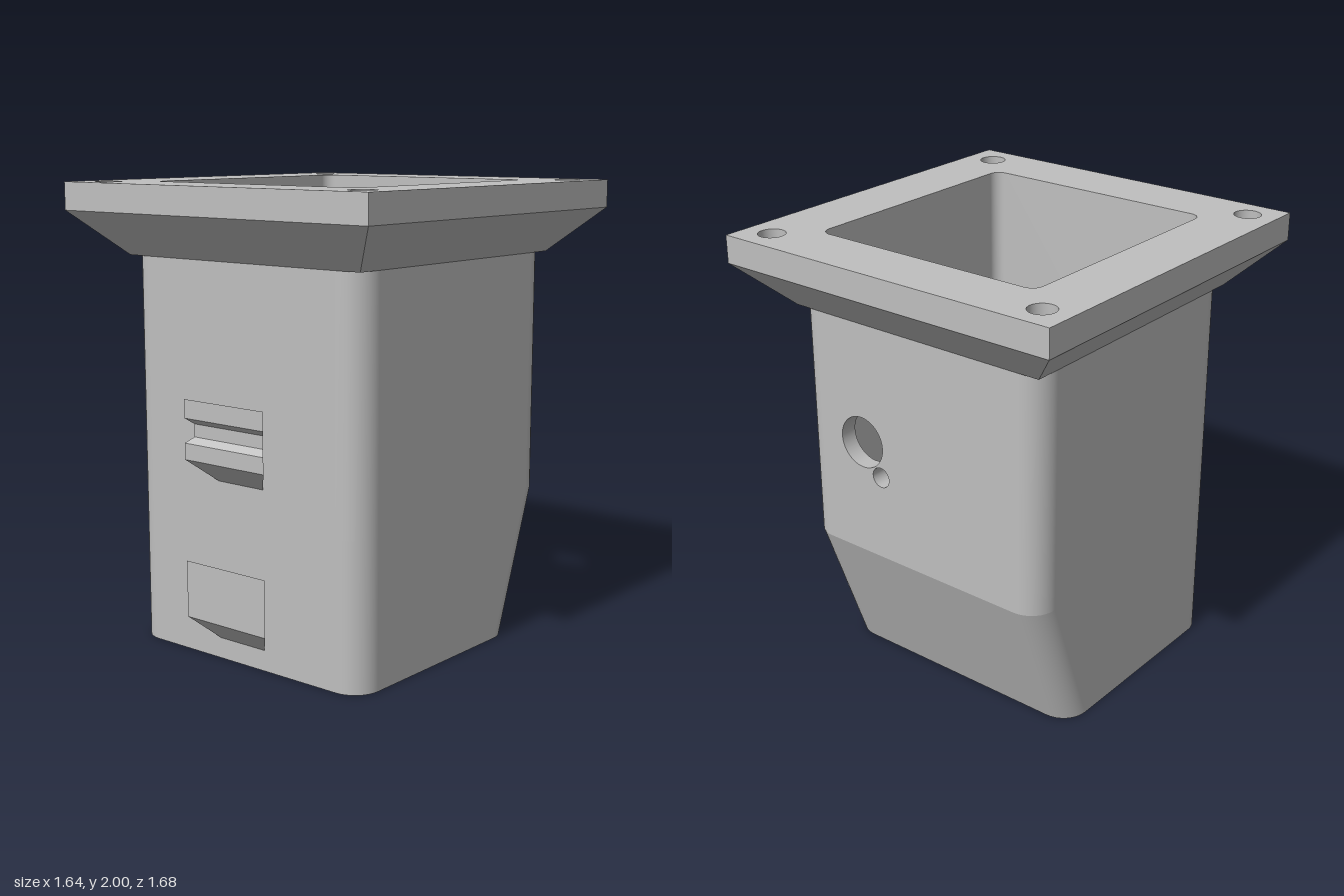
import * as THREE from 'three';

const SEG = 8; // segments per rounded corner

// Rounded rectangle in plan: points [x, z, angle of the outward normal]
function ring(hx, zBack, zFront, r) {
  const centres = [[hx - r, zFront - r], [r - hx, zFront - r], [r - hx, zBack + r], [hx - r, zBack + r]];
  const pts = [];
  centres.forEach(([cx, cz], k) => {
    for (let i = 0; i <= SEG; i++) {
      const a = (k + i / SEG) * Math.PI / 2;
      pts.push([cx + r * Math.cos(a), cz + r * Math.sin(a), a]);
    }
  });
  return pts;
}
const circle = (r) => ring(r, -r, r, r);

// Wall between two rings, facing outward or inward; openBack leaves out the flat back
function wall(y0, r0, y1, r1, { inward = false, openBack = false } = {}) {
  const pos = [], nor = [], idx = [];
  const n = r0.length;
  for (let i = 0; i < n; i++) {
    const a = new THREE.Vector3(r0[i][0], y0, r0[i][1]);
    const b = new THREE.Vector3(r1[i][0], y1, r1[i][1]);
    const t = new THREE.Vector3(-Math.sin(r0[i][2]), 0, Math.cos(r0[i][2]));
    const nv = b.clone().sub(a).cross(t).normalize().multiplyScalar(inward ? -1 : 1);
    pos.push(...a.toArray(), ...b.toArray());
    nor.push(...nv.toArray(), ...nv.toArray());
    if (openBack && i === 3 * (SEG + 1) - 1) continue;
    const j = (i + 1) % n;
    const [p, q, s, u] = [2 * i, 2 * i + 1, 2 * j, 2 * j + 1];
    if (inward) idx.push(p, s, q, q, s, u);
    else idx.push(p, q, s, q, u, s);
  }
  const g = new THREE.BufferGeometry();
  g.setAttribute('position', new THREE.Float32BufferAttribute(pos, 3));
  g.setAttribute('normal', new THREE.Float32BufferAttribute(nor, 3));
  g.setIndex(idx);
  return g;
}

// Drop repeated points so outlines triangulate cleanly
function outline(pts, dx = 0, dy = 0, flip = 1) {
  const out = [];
  for (const [x, z] of pts) {
    const v = new THREE.Vector2(x + dx, flip * z + dy);
    if (!out.some((o) => o.distanceTo(v) < 1e-5)) out.push(v);
  }
  return out;
}

// Flat horizontal face at height y; holes are [ring, x, z]
function face(y, pts, up, holes = []) {
  const f = up ? -1 : 1;
  const shape = new THREE.Shape(outline(pts, 0, 0, f));
  holes.forEach(([h, x, z]) => shape.holes.push(new THREE.Path(outline(h, x, f * z, f))));
  return new THREE.ShapeGeometry(shape).rotateX(f * Math.PI / 2).translate(0, y, 0);
}

export function createModel() {
  const model = new THREE.Group();
  const grey = new THREE.MeshStandardMaterial({ color: 0xbfbfbf });
  grey.name = 'light grey';
  const add = (name, ...geos) => {
    const part = new THREE.Group();
    part.name = name;
    geos.forEach((g) => part.add(new THREE.Mesh(g, grey)));
    model.add(part);
  };

  // Round openings in the back wall: x, y, radius
  const ports = [[0.295, 1.155, 0.115], [0.195, 1.02, 0.045]];
  const backPanel = (hw, y0, y1, z, s) => {
    const shape = new THREE.Shape([[-hw, y0], [hw, y0], [hw, y1], [-hw, y1]].map((p) => new THREE.Vector2(...p)));
    ports.forEach(([x, y, r]) => shape.holes.push(new THREE.Path(outline(circle(r), s * x, y))));
    const g = new THREE.ShapeGeometry(shape);
    if (s < 0) g.rotateY(Math.PI);
    return g.translate(0, 0, z);
  };

  // Outer housing, with the lower back sloping in
  const outer = ring(0.63, -0.65, 0.65, 0.12);
  const outerFoot = ring(0.63, -0.42, 0.65, 0.12);
  add('housing',
    wall(0, outerFoot, 0.635, outer),
    wall(0.635, outer, 1.69, outer, { openBack: true }),
    backPanel(0.51, 0.635, 1.69, -0.65, -1),
    face(0, outerFoot, false));

  // Inner cavity
  const inner = ring(0.55, -0.573, 0.57, 0.05);
  const innerFoot = ring(0.55, -0.367, 0.57, 0.05);
  add('cavity',
    wall(0.08, innerFoot, 0.65, inner, { inward: true }),
    wall(0.65, inner, 2, inner, { inward: true, openBack: true }),
    backPanel(0.5, 0.65, 2, -0.573, 1),
    face(0.08, innerFoot, true));

  add('backPorts', ...ports.map(([x, y, r]) =>
    wall(0, circle(r), 0.077, circle(r), { inward: true }).rotateX(Math.PI / 2).translate(x, y, -0.65)));

  // Top flange with flared underside and blind screw holes
  const rim = ring(0.82, -0.84, 0.84, 0);
  const neck = ring(0.63, -0.65, 0.65, 0);
  const screw = circle(0.058);
  const screws = [];
  for (const x of [-0.69, 0.69]) for (const z of [-0.71, 0.71]) screws.push([screw, x, z]);
  add('flange',
    wall(1.88, rim, 2, rim),
    wall(1.69, neck, 1.88, rim),
    face(2, rim, true, [[inner, 0, 0], ...screws]));
  // Small corner gussets where the square neck meets the rounded housing
  for (const sx of [-1, 1]) for (const sz of [-1, 1]) {
    const s = new THREE.Shape();
    s.moveTo(sx * 0.63, sz * 0.65);
    for (let i = 0; i <= SEG; i++) {
      const a = i / SEG * Math.PI / 2;
      s.lineTo(sx * (0.51 + 0.12 * Math.cos(a)), sz * (0.53 + 0.12 * Math.sin(a)));
    }
    add('neckCorner', new THREE.ShapeGeometry(s).rotateX(Math.PI / 2).translate(0, 1.69, 0));
  }
  for (const [, x, z] of screws) {
    add('screwHole',
      wall(1.88, screw, 2, screw, { inward: true }).translate(x, 0, z),
      face(1.88, screw, true).translate(x, 0, z));
  }

  // Front clips: side profile [z, y], narrowing towards the housing
  const clip = (profile) => {
    const shape = new THREE.Shape(profile.map(([z, y]) => new THREE.Vector2(-z, y)));
    const g = new THREE.ExtrudeGeometry(shape, { depth: 2, bevelEnabled: false })
      .translate(0, 0, -1).rotateY(Math.PI / 2);
    const p = g.attributes.position;
    for (let i = 0; i < p.count; i++) p.setX(i, p.getX(i) * (0.22 - (0.75 - p.getZ(i)) * 0.95));
    g.computeVertexNormals();
    return g;
  };
  add('lowerClip', clip([[0.65, 0.34], [0.75, 0.435], [0.75, 0.19], [0.65, 0.09]]));
  add('upperClip', clip([[0.65, 1.025], [0.75, 1.125], [0.75, 1.045], [0.72, 1.02],
    [0.72, 0.965], [0.75, 0.94], [0.75, 0.87], [0.65, 0.775]]));

  // Pairs of ribs standing on the cavity floor
  for (const x of [-0.24, 0.24]) for (const z of [0.257, 0.373]) {
    add('floorRib', new THREE.BoxGeometry(0.28, 0.12, 0.036).translate(x, 0.14, z));
  }
  return model;
}
